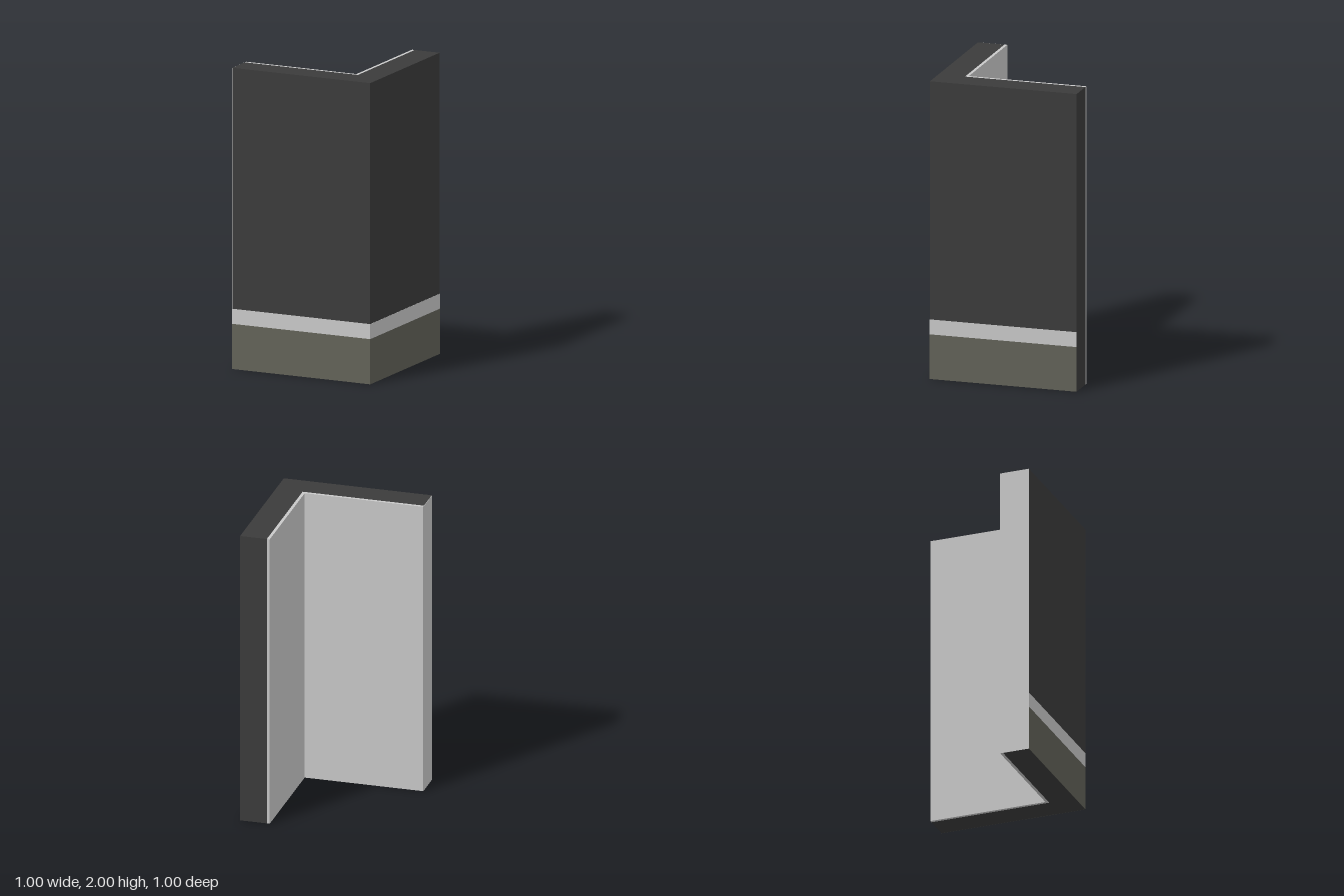
import * as THREE from 'three';

const mat = (name, color) => {
  const m = new THREE.MeshStandardMaterial({ color });
  m.name = name;
  return m;
};

// L-shaped corner strip running between two offsets, open ends at -0.5
function cornerStrip(name, inner, outer, y0, y1, material) {
  const s = new THREE.Shape([
    [-0.5, inner], [inner, inner], [inner, -0.5],
    [outer, -0.5], [outer, outer], [-0.5, outer],
  ].map(([x, z]) => new THREE.Vector2(x, z)));
  const g = new THREE.ExtrudeGeometry(s, { depth: y1 - y0, bevelEnabled: false });
  g.rotateX(Math.PI / 2).translate(0, y1, 0);
  const mesh = new THREE.Mesh(g, material);
  mesh.name = name;
  return mesh;
}

export function createModel() {
  const dark = mat('dark wall', 0x3b3b3b);
  const light = mat('light plaster', 0xc8c8c8);
  const olive = mat('olive base', 0x626258);
  const group = new THREE.Group();
  group.name = 'cornerWall';

  // Wall body and its inner lining
  group.add(cornerStrip('wallBody', 0.32, 0.5, 0, 2, dark));
  group.add(cornerStrip('innerLining', 0.3, 0.32, 0, 2, light));

  // Painted bands around the outer faces
  group.add(cornerStrip('baseBand', 0.4995, 0.501, 0, 0.3, olive));
  group.add(cornerStrip('trimBand', 0.4995, 0.501, 0.3, 0.4, light));

  // Light end face of the front wall
  const end = new THREE.Mesh(new THREE.BoxGeometry(0.002, 2, 0.18), light);
  end.name = 'wallEnd';
  end.position.set(-0.5, 1, 0.41);
  group.add(end);

  return group;
}
